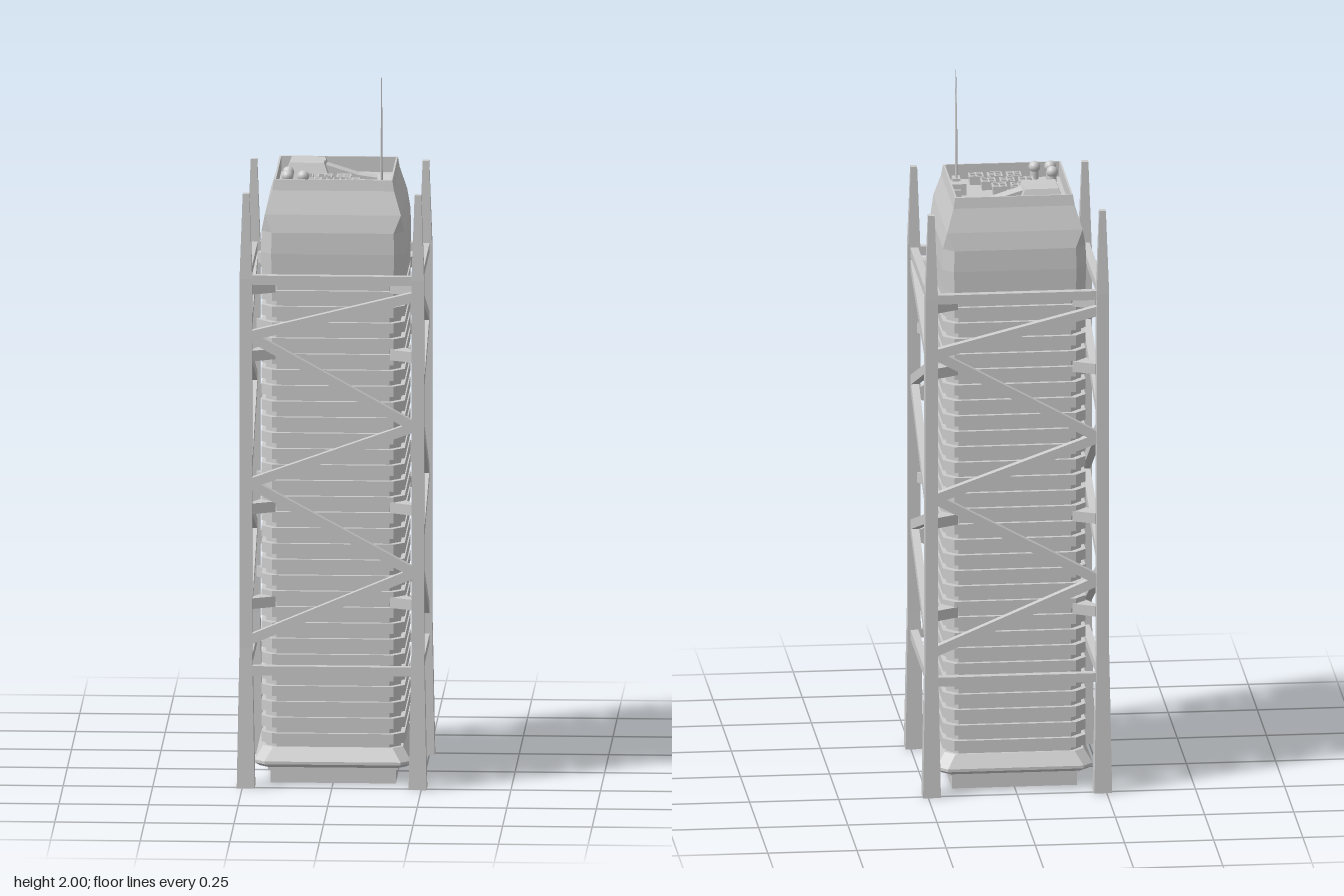
import * as THREE from 'three';

const concrete = new THREE.MeshStandardMaterial({ color: 0xcccccc });
concrete.name = 'pale grey';

// Flat-shaded loft through square rings [y, halfWidth, cornerCut], capped at both ends
function loft(rings) {
  const outline = ([y, h, c = 0]) => {
    const k = h - c;
    return [[h, k], [h, -k], [k, -h], [-k, -h], [-h, -k], [-h, k], [-k, h], [k, h]]
      .map(([x, z]) => new THREE.Vector3(x, y, z));
  };
  const loops = rings.map(outline), pos = [];
  const tri = (a, b, c) => {
    const n = b.clone().sub(a).cross(c.clone().sub(a));
    if (n.length() > 1e-9) for (const p of [a, b, c]) pos.push(p.x, p.y, p.z);
  };
  for (let r = 0; r < loops.length - 1; r++) {
    const lo = loops[r], hi = loops[r + 1];
    for (let i = 0; i < 8; i++) {
      const j = (i + 1) % 8;
      tri(lo[i], lo[j], hi[j]);
      tri(lo[i], hi[j], hi[i]);
    }
  }
  const first = loops[0], last = loops[loops.length - 1];
  for (let i = 1; i < 7; i++) {
    tri(first[0], first[i + 1], first[i]);
    tri(last[0], last[i], last[i + 1]);
  }
  const g = new THREE.BufferGeometry();
  g.setAttribute('position', new THREE.Float32BufferAttribute(pos, 3));
  g.computeVertexNormals();
  return g;
}

function add(parent, name, geometry, x = 0, y = 0, z = 0) {
  const m = new THREE.Mesh(geometry, concrete);
  m.name = name;
  m.position.set(x, y, z);
  parent.add(m);
  return m;
}

const box = (parent, name, w, h, d, x, y, z) =>
  add(parent, name, new THREE.BoxGeometry(w, h, d), x, y, z);

// Rectangular beam between two points
function beam(parent, name, a, b, height, depth) {
  const p = new THREE.Vector3(...a), q = new THREE.Vector3(...b);
  const m = add(parent, name, new THREE.BoxGeometry(depth, height, p.distanceTo(q)));
  m.position.copy(p).add(q).multiplyScalar(0.5);
  m.lookAt(q);
  return m;
}

function buildCore(model) {
  // Base plinth, flared skirt, grooved storeys, crown and sunken roof in one profile
  add(model, 'plinth', loft([[0, 0.175], [0.04, 0.175], [0.04, 0.182], [0.06, 0.182]]));
  add(model, 'skirt', loft([[0.05, 0.205, 0.025], [0.06, 0.218, 0.028], [0.068, 0.218, 0.028], [0.105, 0.195, 0.028]]));

  const storeys = 30, y0 = 0.1, y1 = 1.45, step = (y1 - y0) / storeys;
  const rings = [];
  for (let i = 0; i < storeys; i++) {
    const y = y0 + i * step;
    rings.push([y, 0.188, 0.03], [y + step * 0.35, 0.188, 0.03],
      [y + step * 0.35, 0.2, 0.03], [y + step, 0.2, 0.03]);
  }
  add(model, 'storeys', loft(rings));
  add(model, 'crown', loft([[1.45, 0.2, 0.03], [1.51, 0.202, 0.03], [1.57, 0.2, 0.03], [1.62, 0.19],
    [1.685, 0.17], [1.715, 0.165], [1.715, 0.16], [1.672, 0.16]]));
}

function buildFrame(model) {
  const frame = new THREE.Group();
  frame.name = 'outerFrame';
  model.add(frame);

  // Tapered corner columns
  const column = loft([[0, 0.025], [0.25, 0.0205], [0.4, 0.0175], [1.45, 0.0175], [1.69, 0.009]]);
  for (const x of [-1, 1]) for (const z of [-1, 1]) add(frame, 'column', column, x * 0.24, 0, z * 0.24);

  // Zigzag heights on two neighbouring faces, repeated by a half turn
  const front = [1.4, 1.285, 1.03, 0.865, 0.615, 0.42];
  const side = [1.41, 1.245, 1.07, 0.805, 0.65, 0.415];
  for (const s of [1, -1]) {
    for (let i = 0; i < 5; i++) {
      const e = (i % 2 ? -1 : 1) * 0.23 * s;
      beam(frame, 'diagonalBrace', [e, front[i], 0.24 * s], [-e, front[i + 1], 0.24 * s], 0.027, 0.022);
      beam(frame, 'diagonalBrace', [0.24 * s, side[i], e], [0.24 * s, side[i + 1], -e], 0.027, 0.022);
    }
    for (const y of [0.333, 1.445]) {
      box(frame, 'ringBeam', 0.46, 0.026, 0.022, 0, y, 0.24 * s);
      box(frame, 'ringBeam', 0.022, 0.026, 0.46, 0.24 * s, y, 0);
    }
  }

  // Wedge brackets tying the columns to the cut corners of the core
  const plan = new THREE.Shape([[0.16, 0.2], [0.2, 0.16], [0.232, 0.222], [0.222, 0.232]]
    .map(([x, y]) => new THREE.Vector2(x, y)));
  const bracket = new THREE.ExtrudeGeometry(plan, { depth: 0.03, bevelEnabled: false });
  bracket.rotateX(-Math.PI / 2);
  for (const y of [0.505, 0.775, 1.21, 1.4])
    for (let k = 0; k < 4; k++) add(frame, 'cornerBracket', bracket, 0, y, 0).rotation.y = k * Math.PI / 2;
}

function buildRoof(model) {
  const roof = new THREE.Group();
  roof.name = 'roofEquipment';
  roof.position.y = 1.67;
  model.add(roof);

  // Plant house with an eight-sided landing outline
  const house = add(roof, 'plantHouse', loft([[0, 0.066], [0.052, 0.047]]), -0.082, 0, -0.079);
  house.scale.z = 0.97;
  const pad = new THREE.RingGeometry(0.043, 0.046, 8, 1, Math.PI / 8);
  pad.rotateX(-Math.PI / 2);
  add(roof, 'landingOutline', pad, -0.074, 0.0535, -0.077);

  // Ramp falling away from the plant house
  const slope = new THREE.Shape([[-0.03, 0], [0.13, 0], [0.13, 0.004], [0.06, 0.014], [-0.03, 0.042]]
    .map(([x, y]) => new THREE.Vector2(x, y)));
  add(roof, 'ramp', new THREE.ExtrudeGeometry(slope, { depth: 0.044, bevelEnabled: false }), 0, 0, -0.1);

  // Cooling units with raised grilles
  const rows = [[-0.083, 0.013], [-0.057, 0.065], [-0.028, 0.118]];
  for (const [x0, z] of rows) for (let i = 0; i < 3; i++) {
    const x = x0 + i * 0.053;
    box(roof, 'coolingUnit', 0.038, 0.02, 0.04, x, 0.01, z);
    for (const d of [-0.0185, 0, 0.0185]) box(roof, 'grilleBar', 0.004, 0.008, 0.044, x + d, 0.023, z);
    for (const d of [-0.02, -0.0067, 0.0067, 0.02]) box(roof, 'grilleBar', 0.041, 0.008, 0.004, x, 0.023, z + d);
  }

  // Domed tanks
  for (const [x, z] of [[-0.13, 0.063], [-0.13, 0.117], [-0.086, 0.117]]) {
    add(roof, 'tankStand', new THREE.CylinderGeometry(0.012, 0.012, 0.045, 12), x, 0.0225, z);
    add(roof, 'tankDome', new THREE.SphereGeometry(0.0165, 16, 10), x, 0.045, z);
  }

  // Stair hut with sloping front
  const hut = new THREE.Shape([[0, 0], [0.055, 0], [0.03, 0.035], [0, 0.035]]
    .map(([x, y]) => new THREE.Vector2(x, y)));
  const hutGeometry = new THREE.ExtrudeGeometry(hut, { depth: 0.041, bevelEnabled: false });
  hutGeometry.rotateY(-Math.PI / 2);
  add(roof, 'stairHut', hutGeometry, 0.158, 0, 0);
  box(roof, 'stairHutVent', 0.02, 0.02, 0.012, 0.142, 0.01, -0.005);

  // Three masts on a small base
  box(roof, 'mastBase', 0.021, 0.02, 0.038, 0.133, 0.01, 0.12);
  for (const [z, top] of [[0.108, 1.91], [0.119, 1.95], [0.131, 2]])
    add(roof, 'mast', new THREE.CylinderGeometry(0.0012, 0.003, top - 1.67, 8), 0.133, (top - 1.67) / 2, z);
}

export function createModel() {
  const model = new THREE.Group();
  model.name = 'bracedTower';
  buildCore(model);
  buildFrame(model);
  buildRoof(model);
  return model;
}
